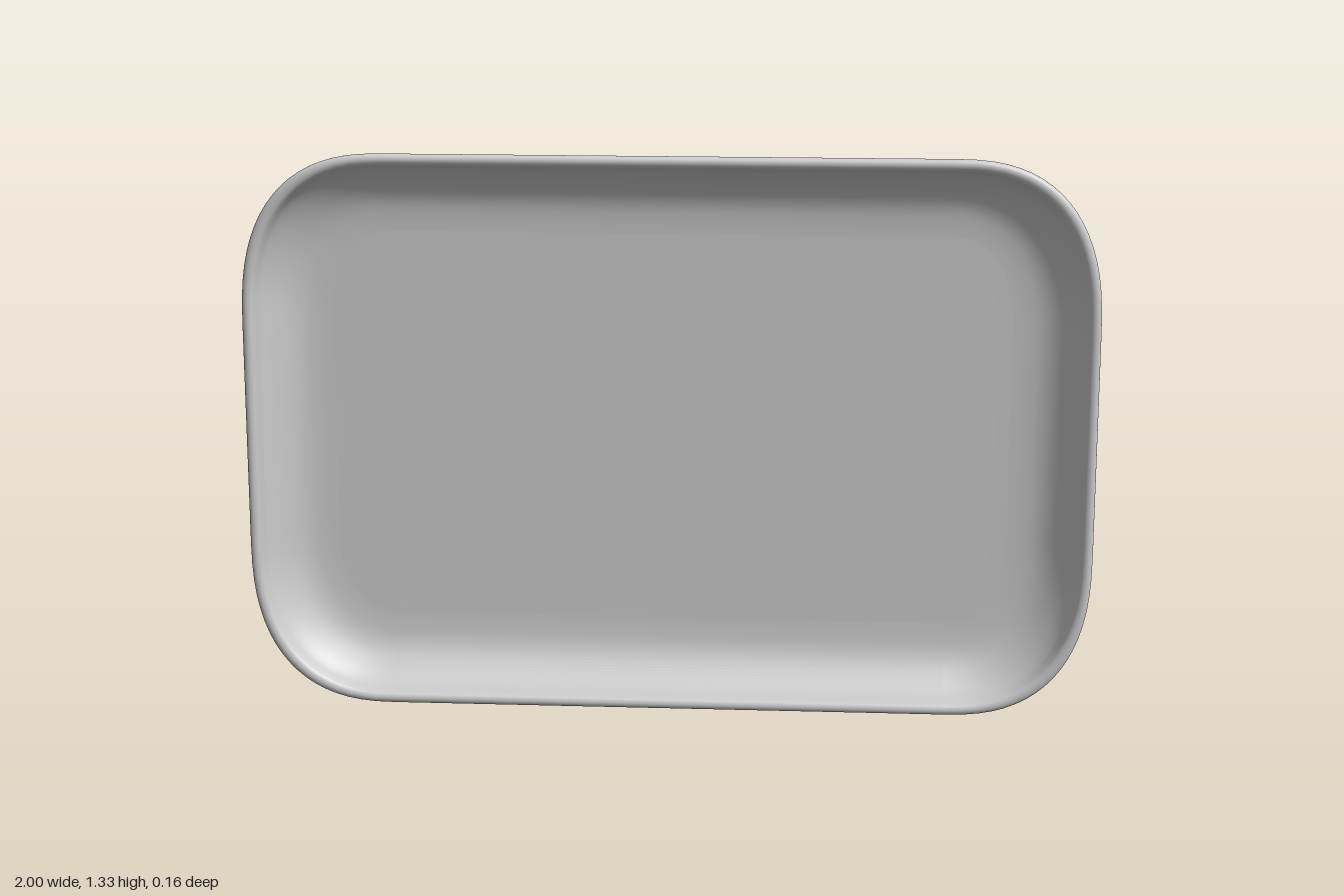
import * as THREE from 'three';

const HALF_W = 1, HALF_H = 0.667, CORNER_X = 0.34, CORNER_Y = 0.4, STEPS = 18;

// Ring with full, slightly squared corners, inset from the rim, counter-clockwise seen from the front
function ring(inset, z) {
  const w = HALF_W - inset, h = HALF_H - inset;
  const rx = Math.max(CORNER_X - inset, 0), ry = Math.max(CORNER_Y - inset, 0);
  const power = 2 / (2.5 - Math.min(inset, 0.14) * 2);
  const points = [];
  for (let q = 0; q < 4; q++) {
    const sx = q === 0 || q === 3 ? 1 : -1, sy = q < 2 ? 1 : -1;
    for (let k = 0; k <= STEPS; k++) {
      const a = (q + k / STEPS) * Math.PI / 2;
      const x = w - rx + rx * Math.abs(Math.cos(a)) ** power;
      const y = h - ry + ry * Math.abs(Math.sin(a)) ** power;
      points.push(sx * x, HALF_H + sy * y, z);
    }
  }
  return points;
}

// Smooth surface through rings given as [inset, z]
function loft(name, profile, material) {
  const positions = profile.flatMap(([inset, z]) => ring(inset, z));
  const n = 4 * (STEPS + 1), index = [];
  for (let i = 0; i < profile.length - 1; i++) {
    for (let j = 0; j < n; j++) {
      const k = (j + 1) % n, a = i * n + j, b = i * n + k;
      index.push(a, b, a + n, b, b + n, a + n);
    }
  }
  const geometry = new THREE.BufferGeometry();
  geometry.setAttribute('position', new THREE.Float32BufferAttribute(positions, 3));
  geometry.setIndex(index);
  geometry.computeVertexNormals();
  const mesh = new THREE.Mesh(geometry, material);
  mesh.name = name;
  return mesh;
}

// Smooth profile through a few control points
function smooth(points, count) {
  const curve = new THREE.CatmullRomCurve3(points.map(([s, z]) => new THREE.Vector3(s, z, 0)), false, 'centripetal');
  return curve.getPoints(count).map((p) => [p.x, p.y]);
}

export function createModel() {
  const model = new THREE.Group();
  model.name = 'tray';
  const material = new THREE.MeshStandardMaterial({ color: 0xcccccc, roughness: 0.7 });

  // Raised foot on the back, with a small rounded edge
  model.add(loft('foot', [
    [HALF_H, -0.08], [0.16, -0.08],
    ...smooth([[0.15, -0.08], [0.144, -0.079], [0.141, -0.075], [0.139, -0.056], [0.132, -0.046]], 16),
  ], material));

  // Bowl wall from the foot over the rim
  const outside = [
    [0.132, -0.046], [0.115, -0.04], [0.09, -0.029], [0.05, -0.007], [0.026, 0.014],
    [0.01, 0.034], [0.002, 0.052], [0, 0.066], [0.004, 0.075], [0.013, 0.078],
  ];
  // Inner wall easing into the floor
  const inside = [
    [0.023, 0.074], [0.029, 0.062], [0.036, 0.042], [0.05, 0.022], [0.072, 0.002],
    [0.1, -0.016], [0.13, -0.027], [0.165, -0.032], [0.2, -0.034],
  ];
  model.add(loft('bowl', [
    ...smooth([...outside, ...inside], 76),
    [0.24, -0.034], [HALF_H, -0.034],
  ], material));

  return model;
}
